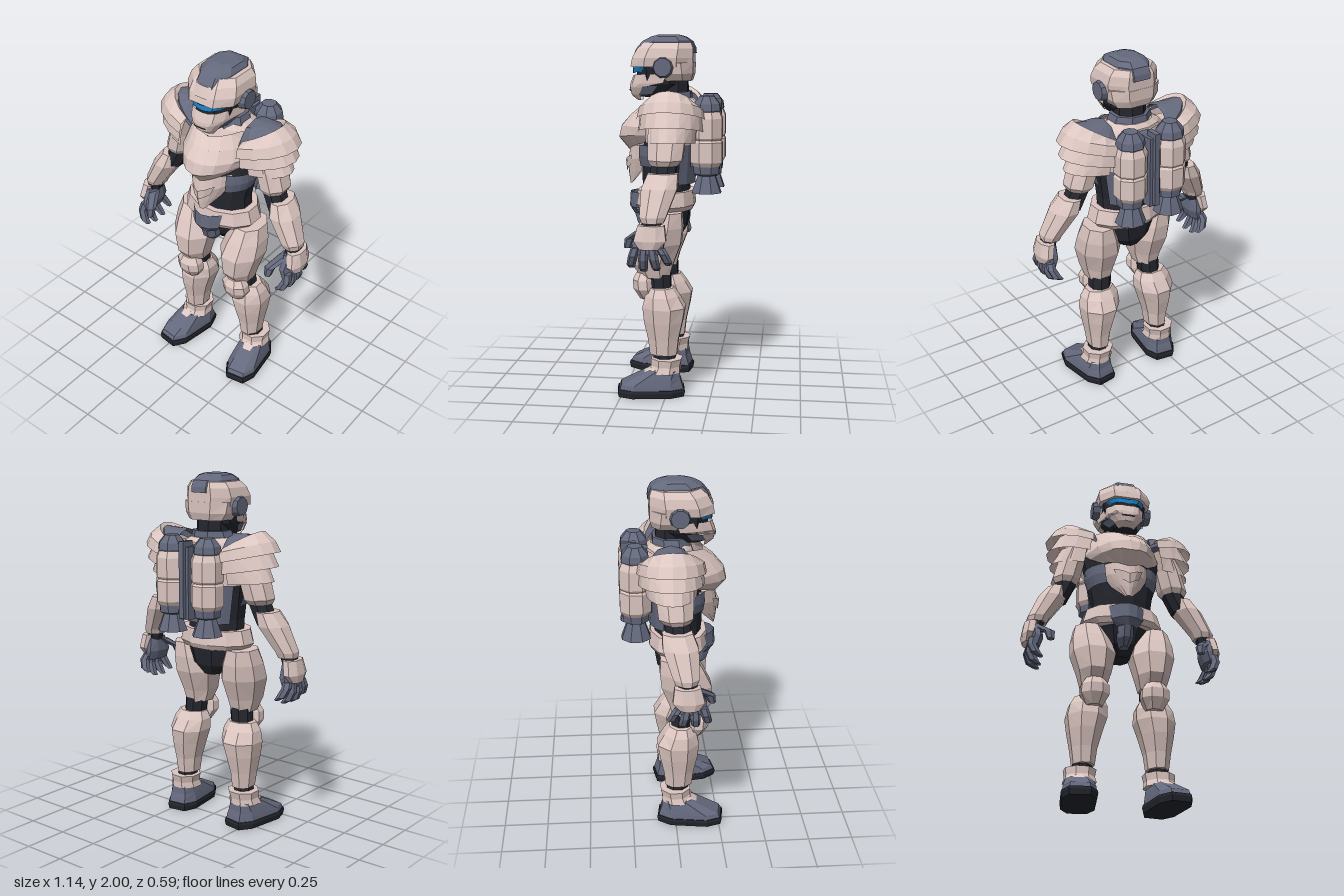
import * as THREE from 'three';

const paint = (name, color) =>
  new THREE.MeshStandardMaterial({ name, color, flatShading: true, side: THREE.DoubleSide });
const armour = paint('armour beige', 0xdcc6c1);
const slate = paint('slate grey', 0x64697d);
const suit = paint('undersuit black', 0x25272f);
const glow = paint('visor blue', 0x1a88d0);

function meshFrom(name, pos, index, mat, parent) {
  const indexed = new THREE.BufferGeometry();
  indexed.setAttribute('position', new THREE.Float32BufferAttribute(pos, 3));
  indexed.setIndex(index);
  const geo = indexed.toNonIndexed();
  geo.computeVertexNormals();
  const mesh = new THREE.Mesh(geo, mat);
  mesh.name = name;
  parent.add(mesh);
  return mesh;
}

// Stacks horizontal rings [x, y, z, rx, rz, droop] from bottom to top. An arc in degrees makes an
// open shell whose ends sink by droop; a square power below 1 makes the rings boxier.
function loft(parent, name, mat, rings, { n = 8, arc = null, square = 1 } = {}) {
  const pos = [], index = [], cols = arc ? n + 1 : n;
  const soft = v => Math.sign(v) * Math.abs(v) ** square;
  const grow = arc ? 1 : 1 / Math.cos(Math.PI / n) ** square;
  for (const [x, y, z, rx, rz, droop = 0] of rings) {
    for (let j = 0; j < cols; j++) {
      const t = arc
        ? THREE.MathUtils.degToRad(arc[0] + (arc[1] - arc[0]) * j / n)
        : (j + 0.5) / n * Math.PI * 2;
      pos.push(x + rx * grow * soft(Math.cos(t)), y - droop * (1 - Math.cos(t)), z + rz * grow * soft(Math.sin(t)));
    }
  }
  for (let i = 0; i < rings.length - 1; i++) {
    for (let j = 0; j < n; j++) {
      const k = arc ? j + 1 : (j + 1) % n;
      const a = i * cols + j, b = i * cols + k, c = a + cols, d = b + cols;
      index.push(a, c, b, b, c, d);
    }
  }
  if (!arc) {
    const top = (rings.length - 1) * n;
    for (let j = 1; j < n - 1; j++) index.push(0, j, j + 1, top, top + j + 1, top + j);
  }
  return meshFrom(name, pos, index, mat, parent);
}

// Curved front plate from rows [y, halfWidth, zCentre, zEdge, edgeRise], bottom to top.
function plate(parent, name, mat, rows, n = 6, power = 2) {
  const pos = [], index = [];
  for (const [y, w, zc, ze, rise = 0] of rows) {
    for (let j = 0; j <= n; j++) {
      const u = j / n * 2 - 1;
      pos.push(w * u, y + rise * Math.abs(u), ze + (zc - ze) * (1 - Math.abs(u) ** power));
    }
  }
  for (let i = 0; i < rows.length - 1; i++) {
    for (let j = 0; j < n; j++) {
      const a = i * (n + 1) + j, c = a + n + 1;
      index.push(a, a + 1, c, a + 1, c + 1, c);
    }
  }
  return meshFrom(name, pos, index, mat, parent);
}

function box(parent, name, mat, size, at) {
  const mesh = new THREE.Mesh(new THREE.BoxGeometry(...size), mat);
  mesh.name = name;
  mesh.position.set(...at);
  parent.add(mesh);
}

function buildHead(g) {
  const boxy = { square: 0.75 };
  loft(g, 'neck', suit, [[0, 1.55, -0.02, 0.085, 0.08], [0, 1.78, -0.01, 0.085, 0.08]]);
  loft(g, 'faceRecess', suit, [[0, 1.66, 0.09, 0.06, 0.08], [0, 1.73, 0.06, 0.11, 0.12], [0, 1.85, 0.06, 0.13, 0.13]], boxy);
  loft(g, 'helmetBack', armour, [[0, 1.75, -0.03, 0.115, 0.085], [0, 1.79, -0.015, 0.142, 0.112], [0, 1.85, 0, 0.15, 0.128]], boxy);
  loft(g, 'helmetShell', armour, [[0, 1.826, 0.047, 0.148, 0.173], [0, 1.875, 0.042, 0.156, 0.168],
    [0, 1.925, 0.028, 0.145, 0.155], [0, 1.958, 0.015, 0.12, 0.13]], boxy);
  loft(g, 'helmetCrest', slate, [[0, 1.9, 0.03, 0.092, 0.166], [0, 1.93, 0.027, 0.097, 0.16],
    [0, 1.965, 0.02, 0.095, 0.137], [0, 1.99, 0.015, 0.078, 0.095], [0, 2.0, 0.015, 0.05, 0.06]], boxy);
  plate(g, 'browPanel', armour, [[1.865, 0.07, 0.22, 0.21], [1.925, 0.05, 0.198, 0.19]], 4);
  plate(g, 'visor', glow, [[1.787, 0.115, 0.213, 0.09, 0.014], [1.818, 0.138, 0.213, 0.07, 0.01]], 8, 4);
  plate(g, 'cheekLining', slate, [[1.655, 0.085, 0.19, 0.1, 0.02], [1.705, 0.122, 0.205, 0.06, 0.02]], 8, 4);
  plate(g, 'jaw', armour, [[1.64, 0.045, 0.188, 0.165], [1.665, 0.07, 0.222, 0.17, 0.01],
    [1.705, 0.1, 0.232, 0.15, 0.01], [1.725, 0.138, 0.23, 0.03, 0.015], [1.775, 0.146, 0.212, 0.01, 0.014]], 8, 3.5);
  plate(g, 'mouthSlot', suit, [[1.69, 0.035, 0.234, 0.23], [1.7, 0.045, 0.236, 0.231]], 4);
  for (const s of [-1, 1]) {
    const ear = new THREE.Mesh(new THREE.CylinderGeometry(0.05, 0.06, 0.04, 10), slate);
    ear.name = 'earDisc';
    ear.rotation.z = -s * Math.PI / 2;
    ear.position.set(s * 0.155, 1.825, 0.03);
    g.add(ear);
  }
}

function buildTorso(g) {
  loft(g, 'undersuitTorso', suit, [[0, 1.06, 0.02, 0.17, 0.125], [0, 1.2, 0.03, 0.17, 0.13],
    [0, 1.35, 0.02, 0.195, 0.14], [0, 1.5, 0, 0.23, 0.13], [0, 1.59, -0.01, 0.2, 0.12]], { n: 12 });
  loft(g, 'shoulderYoke', armour, [[0, 1.57, -0.01, 0.215, 0.13], [0, 1.63, -0.02, 0.16, 0.12], [0, 1.655, -0.02, 0.12, 0.1]], { n: 12 });
  loft(g, 'collar', slate, [[0, 1.63, -0.01, 0.125, 0.105], [0, 1.69, -0.015, 0.105, 0.095]]);
  plate(g, 'chestPlate', armour, [[1.355, 0.13, 0.235, 0.14, 0.055], [1.43, 0.195, 0.298, 0.08, 0.03],
    [1.5, 0.222, 0.283, 0.05], [1.56, 0.2, 0.23, 0.04, 0.01], [1.605, 0.155, 0.165, 0.06, 0.04]], 8, 2.4);
  plate(g, 'abdomenPlate', armour, [[1.17, 0.02, 0.235, 0.225], [1.22, 0.085, 0.243, 0.16, 0.03],
    [1.29, 0.13, 0.248, 0.135, 0.04], [1.38, 0.14, 0.235, 0.13, 0.02]], 8);
  plate(g, 'abdomenRidge', armour, [[1.24, 0.06, 0.255, 0.225, 0.04], [1.3, 0.085, 0.261, 0.215, 0.04]], 4);
  loft(g, 'lowerBack', slate, [[0, 1.18, 0, 0.175, 0.135], [0, 1.42, 0, 0.215, 0.155]], { n: 6, arc: [205, 335] });
  loft(g, 'upperBack', armour, [[0, 1.4, 0, 0.225, 0.16], [0, 1.52, 0, 0.24, 0.16], [0, 1.62, -0.02, 0.17, 0.13]], { n: 6, arc: [195, 345] });

  // Belt and hips
  loft(g, 'pelvis', suit, [[0, 0.87, 0.005, 0.05, 0.06], [0, 0.93, 0.01, 0.13, 0.1], [0, 1.05, 0.02, 0.18, 0.13]]);
  loft(g, 'belt', armour, [[0, 1.03, 0.03, 0.2, 0.15], [0, 1.06, 0.03, 0.228, 0.165], [0, 1.14, 0.03, 0.205, 0.155]], { n: 12 });
  plate(g, 'buckle', slate, [[1.0, 0.06, 0.215, 0.17], [1.04, 0.09, 0.24, 0.19], [1.125, 0.1, 0.235, 0.17]], 4);
  loft(g, 'groinGuard', slate, [[0, 0.9, 0.11, 0.025, 0.035], [0, 0.94, 0.13, 0.042, 0.06], [0, 1.02, 0.14, 0.042, 0.075]]);
}

function buildPack(g) {
  box(g, 'packFrame', slate, [0.24, 0.28, 0.08], [0, 1.42, -0.16]);
  box(g, 'packSpine', slate, [0.065, 0.4, 0.12], [0, 1.42, -0.2]);
  box(g, 'packSpineRidge', slate, [0.03, 0.42, 0.08], [0, 1.44, -0.242]);
}

function buildSide(g) {
  const tank = (name, mat, profile) =>
    loft(g, name, mat, profile.map(([y, r]) => [0.125, y, -0.21, r, r]));
  tank('tankLower', armour, [[1.28, 0.068], [1.31, 0.086], [1.42, 0.086], [1.432, 0.078]]);
  tank('tankUpper', armour, [[1.432, 0.078], [1.445, 0.086], [1.55, 0.086], [1.59, 0.07]]);
  tank('tankCap', slate, [[1.58, 0.068], [1.595, 0.075], [1.63, 0.07], [1.672, 0.038]]);
  tank('nozzle', slate, [[1.14, 0.08], [1.235, 0.048], [1.245, 0.068], [1.29, 0.072]]);

  loft(g, 'ribStrap', slate, [[0, 1.28, 0.03, 0.19, 0.16], [0, 1.34, 0.03, 0.21, 0.17], [0, 1.4, 0.03, 0.215, 0.165]], { n: 5, arc: [-10, 55] });

  // Layered shoulder guard
  loft(g, 'shoulderCap', slate, [[0.17, 1.65, -0.02, 0.178, 0.13, 0.08], [0.17, 1.69, -0.02, 0.16, 0.125, 0.095],
    [0.17, 1.685, -0.02, 0.09, 0.07, 0.02], [0.17, 1.685, -0.02, 0, 0]], { arc: [-95, 95], square: 1.15 });
  loft(g, 'shoulderPlateTop', armour, [[0.18, 1.6, -0.02, 0.262, 0.19, 0.06], [0.18, 1.655, -0.02, 0.228, 0.178, 0.06],
    [0.18, 1.708, -0.02, 0.165, 0.133, 0.095], [0.18, 1.68, -0.02, 0.145, 0.12, 0.085]], { arc: [-92, 88] });
  loft(g, 'shoulderPlateMiddle', armour, [[0.17, 1.52, -0.02, 0.265, 0.18, 0.045], [0.17, 1.62, -0.02, 0.205, 0.172, 0.05]], { arc: [-85, 82] });
  loft(g, 'shoulderPlateLower', armour, [[0.17, 1.437, -0.02, 0.245, 0.14, 0.02], [0.17, 1.54, -0.02, 0.19, 0.145, 0.03]], { arc: [-78, 75] });

  // Arm
  loft(g, 'upperArm', armour, [[0.325, 1.31, 0, 0.06, 0.07], [0.322, 1.34, -0.005, 0.078, 0.092],
    [0.295, 1.45, -0.01, 0.076, 0.1], [0.25, 1.57, -0.01, 0.075, 0.1]]);
  loft(g, 'elbow', suit, [[0.37, 1.2, 0.01, 0.055, 0.065], [0.315, 1.33, 0, 0.06, 0.068]]);
  loft(g, 'forearm', armour, [[0.485, 1.03, 0.04, 0.052, 0.058], [0.48, 1.06, 0.04, 0.06, 0.07],
    [0.405, 1.2, 0.015, 0.077, 0.095], [0.378, 1.275, 0, 0.052, 0.08]]);
  loft(g, 'wrist', suit, [[0.505, 0.96, 0.05, 0.038, 0.05], [0.485, 1.05, 0.045, 0.045, 0.05]]);
  loft(g, 'handGuard', armour, [[0.538, 0.895, 0.055, 0.025, 0.05], [0.53, 0.94, 0.05, 0.04, 0.085], [0.515, 1.02, 0.045, 0.042, 0.07]]);
  loft(g, 'palm', slate, [[0.505, 0.865, 0.065, 0.032, 0.08], [0.49, 0.92, 0.065, 0.036, 0.085], [0.495, 1.0, 0.055, 0.035, 0.06]]);
  [[0, -0.04, 0.8], [0.042, 0.022, 0.77], [0.085, 0.09, 0.765], [0.128, 0.155, 0.785]].forEach(([z0, z1, tip]) =>
    loft(g, 'finger', slate, [[0.475, tip, z1, 0.014, 0.015], [0.5, tip + 0.02, z1, 0.024, 0.021],
      [0.522, tip + 0.07, (z0 + z1) / 2, 0.023, 0.023], [0.515, 0.9, z0, 0.022, 0.022]], { n: 6 }));
  loft(g, 'thumb', slate, [[0.425, 0.88, 0.185, 0.018, 0.018], [0.43, 0.93, 0.17, 0.026, 0.026], [0.475, 0.985, 0.09, 0.03, 0.035]], { n: 6 });

  // Leg
  loft(g, 'thigh', armour, [[0.165, 0.668, 0.07, 0.07, 0.08], [0.165, 0.74, 0.085, 0.09, 0.115],
    [0.168, 0.86, 0.065, 0.12, 0.14], [0.178, 0.95, 0.04, 0.108, 0.125], [0.188, 1.035, 0.02, 0.08, 0.1]]);
  loft(g, 'kneeJoint', suit, [[0.175, 0.55, 0.04, 0.06, 0.06], [0.165, 0.72, 0.05, 0.062, 0.065]]);
  loft(g, 'kneePad', armour, [[0.168, 0.54, 0.11, 0.045, 0.045], [0.168, 0.6, 0.13, 0.078, 0.06],
    [0.168, 0.65, 0.135, 0.075, 0.06], [0.168, 0.69, 0.13, 0.05, 0.045]]);
  loft(g, 'shin', armour, [[0.205, 0.23, 0.02, 0.058, 0.075], [0.205, 0.32, 0.02, 0.07, 0.085],
    [0.2, 0.42, 0.02, 0.092, 0.107], [0.192, 0.5, 0.018, 0.11, 0.118], [0.185, 0.565, 0.03, 0.104, 0.092], [0.182, 0.61, 0.035, 0.08, 0.065]]);
  loft(g, 'ankle', suit, [[0.215, 0.15, 0.01, 0.055, 0.06], [0.21, 0.25, 0.015, 0.052, 0.06]]);
  loft(g, 'ankleCuff', armour, [[0.222, 0.135, 0.015, 0.087, 0.09], [0.22, 0.17, 0.005, 0.078, 0.08], [0.218, 0.212, 0, 0.085, 0.085]]);

  // Boot, toes turned out
  const boot = new THREE.Group();
  boot.name = 'boot';
  boot.position.x = 0.225;
  boot.rotation.y = 0.15;
  g.add(boot);
  const blunt = { square: 0.6 };
  loft(boot, 'sole', suit, [[0, 0, 0.088, 0.09, 0.182], [0, 0.03, 0.088, 0.096, 0.188], [0, 0.045, 0.088, 0.093, 0.184]], blunt);
  loft(boot, 'bootUpper', slate, [[0, 0.04, 0.088, 0.09, 0.18], [0, 0.07, 0.085, 0.086, 0.17],
    [0, 0.1, 0.06, 0.08, 0.135], [0, 0.148, 0.015, 0.068, 0.085]], blunt);
  loft(boot, 'instepGuard', armour, [[0, 0.1, 0.1, 0.06, 0.06], [0, 0.13, 0.075, 0.06, 0.058], [0, 0.16, 0.04, 0.055, 0.05]]);
}

export function createModel() {
  const model = new THREE.Group();
  model.name = 'armouredFigure';
  const part = (name, build, mirror = 1) => {
    const g = new THREE.Group();
    g.name = name;
    g.scale.x = mirror;
    build(g);
    model.add(g);
  };
  part('head', buildHead);
  part('torso', buildTorso);
  part('backpack', buildPack);
  part('leftSide', buildSide);
  part('rightSide', buildSide, -1);
  return model;
}
